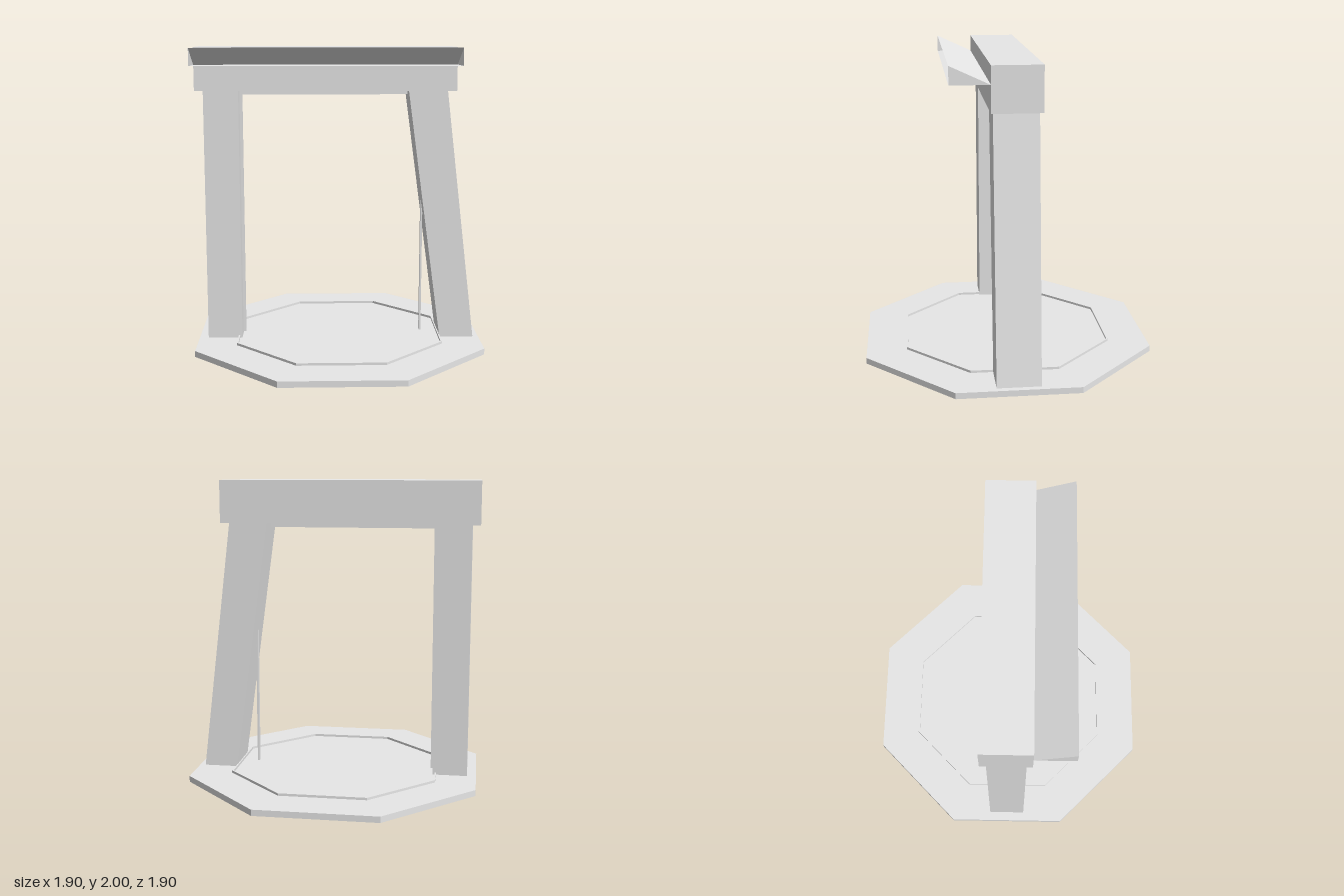
import * as THREE from 'three';

const grey = new THREE.MeshStandardMaterial({ color: 0xe7e7e7, flatShading: true });
grey.name = 'plainGrey';
const greySheet = new THREE.MeshStandardMaterial({ color: 0xe7e7e7, flatShading: true, side: THREE.DoubleSide });
greySheet.name = 'plainGreySheet';

export function createModel() {
  const model = new THREE.Group();
  model.name = 'gateway';

  const add = (name, geometry, material = grey, parent = model) => {
    const mesh = new THREE.Mesh(geometry, material);
    mesh.name = name;
    parent.add(mesh);
    return mesh;
  };

  // Box given by its limits on each axis
  const block = (name, x0, x1, y0, y1, z0, z1) =>
    add(name, new THREE.BoxGeometry(x1 - x0, y1 - y0, z1 - z0))
      .position.set((x0 + x1) / 2, (y0 + y1) / 2, (z0 + z1) / 2);

  // Octagon corners, with flat sides along the axes
  const octagon = (apothem) => Array.from({ length: 8 }, (_, i) => {
    const a = (i + 0.5) * Math.PI / 4, r = apothem / Math.cos(Math.PI / 8);
    return new THREE.Vector2(r * Math.cos(a), r * Math.sin(a));
  });

  // Base: a shallow octagonal tray turned over, hollow underneath
  const base = new THREE.Group();
  base.name = 'base';
  model.add(base);
  const radius = 0.95 / Math.cos(Math.PI / 8);
  const skirt = new THREE.CylinderGeometry(radius, radius, 0.04, 8, 1, true).rotateY(Math.PI / 8);
  add('baseSkirt', skirt, greySheet, base).position.y = 0.02;
  const top = new THREE.ShapeGeometry(new THREE.Shape(octagon(0.95))).rotateX(-Math.PI / 2);
  add('baseTop', top, greySheet, base).position.y = 0.04;

  // Thin raised rim on the base
  const rim = new THREE.Shape(octagon(0.685));
  rim.holes.push(new THREE.Path(octagon(0.675)));
  add('baseRim', new THREE.ExtrudeGeometry(rim, { depth: 0.016, bevelEnabled: false }).rotateX(-Math.PI / 2), grey, base)
    .position.y = 0.04;

  // Posts: one upright and slightly shallower, one leaning inwards
  block('uprightPost', -0.89, -0.66, 0.04, 1.717, -0.122, 0.122);
  const lean = new THREE.Shape([
    new THREE.Vector2(0.685, 0.04), new THREE.Vector2(0.913, 0.04),
    new THREE.Vector2(0.712, 1.717), new THREE.Vector2(0.456, 1.717),
  ]);
  add('leaningPost', new THREE.ExtrudeGeometry(lean, { depth: 0.28, bevelEnabled: false }))
    .position.z = -0.14;

  // Lintel
  block('lintel', -0.943, 0.77, 1.717, 2, -0.156, 0.155);

  // Slim inner frame
  block('frameLeft', -0.66, -0.642, 0.05, 1.717, -0.015, 0.015);
  block('frameRight', 0.557, 0.57, 0.05, 1.717, -0.015, 0.015);
  block('frameTop', -0.66, 0.57, 1.686, 1.717, -0.015, 0.015);

  // Wedge-shaped canopy, open at the front
  const canopy = new THREE.Group();
  canopy.name = 'canopy';
  model.add(canopy);
  const [x0, x1, zBack, zFront, yLow, yHigh] = [-0.943, 0.77, 0.155, 0.4, 1.887, 2];
  const depth = zFront - zBack, rise = yHigh - yLow;
  const panel = (name, length, angle, y) => {
    const g = new THREE.PlaneGeometry(x1 - x0, length).rotateX(-Math.PI / 2 - angle);
    add(name, g, greySheet, canopy).position.set((x0 + x1) / 2, y, (zBack + zFront) / 2);
  };
  panel('canopyFloor', depth, 0, yLow);
  panel('canopyRoof', Math.hypot(depth, rise), Math.atan2(rise, depth), (yLow + yHigh) / 2);
  const side = new THREE.Shape([
    new THREE.Vector2(-zBack, yLow), new THREE.Vector2(-zFront, yLow), new THREE.Vector2(-zFront, yHigh),
  ]);
  for (const [name, x] of [['canopyEndRight', x0], ['canopyEndLeft', x1]]) {
    add(name, new THREE.ShapeGeometry(side).rotateY(Math.PI / 2), greySheet, canopy).position.x = x;
  }

  return model;
}
